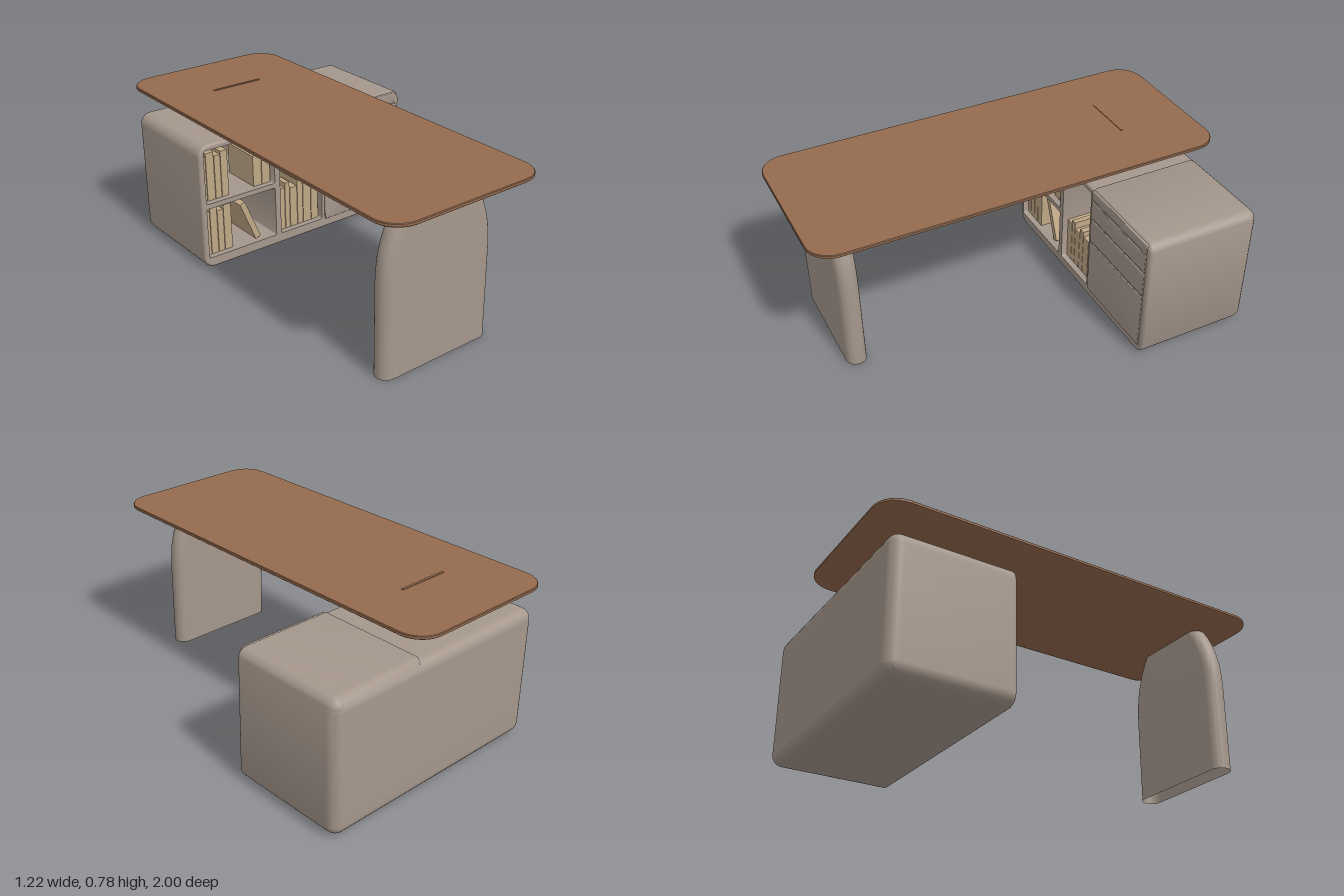
import * as THREE from 'three';
import { toCreasedNormals } from 'three/addons/utils/BufferGeometryUtils.js';

const mat = (name, color) => {
  const m = new THREE.MeshStandardMaterial({ color, side: THREE.DoubleSide });
  m.name = name;
  return m;
};

// Rounded rectangle outline, counter-clockwise; r is one radius or four (from lower right round to lower left)
function outline(x0, x1, y0, y1, r, inset = 0) {
  const radii = Array.isArray(r) ? r : [r, r, r, r];
  const pts = [];
  for (let c = 0; c < 4; c++) {
    const q = Math.max(radii[c] - inset, 0.002);
    const cx = c < 2 ? x1 - inset - q : x0 + inset + q;
    const cy = c === 1 || c === 2 ? y1 - inset - q : y0 + inset + q;
    for (let k = 0; k <= 8; k++) {
      const a = (c - 1 + k / 8) * Math.PI / 2;
      pts.push([cx + q * Math.cos(a), cy + q * Math.sin(a)]);
    }
  }
  return pts;
}

// Skin a stack of outlines [points, depth] along z, with optional flat ends
function loft(rings, capStart = true, capEnd = true, crease = 0.5) {
  const n = rings[0][0].length, pos = [], idx = [];
  rings.forEach(([pts, w]) => pts.forEach(([u, v]) => pos.push(u, v, w)));
  for (let i = 0; i < rings.length - 1; i++) {
    for (let j = 0; j < n; j++) {
      const a = i * n + j, b = i * n + (j + 1) % n;
      idx.push(a, b, b + n, a, b + n, a + n);
    }
  }
  const cap = (i, flip) => {
    const [pts, w] = rings[i], c = pos.length / 3;
    pos.push(pts.reduce((s, p) => s + p[0], 0) / n, pts.reduce((s, p) => s + p[1], 0) / n, w);
    for (let j = 0; j < n; j++) {
      const a = i * n + j, b = i * n + (j + 1) % n;
      idx.push(c, flip ? b : a, flip ? a : b);
    }
  };
  if (capStart) cap(0, true);
  if (capEnd) cap(rings.length - 1, false);
  const g = new THREE.BufferGeometry();
  g.setAttribute('position', new THREE.Float32BufferAttribute(pos, 3));
  g.setIndex(idx);
  return toCreasedNormals(g, crease);
}

// Block along z with rounded back and front edges
function softBlock(rect, r, z0, z1, rBack, rFront, capEnd = true) {
  const rings = [];
  const add = (inset, z) => rings.push([outline(...rect, r, inset), z]);
  const arc = (q, z, dir) => {
    const list = [[q + 0.004, z]];
    for (let k = 0; k <= 6; k++) {
      const a = k / 6 * Math.PI / 2;
      list.push([q * (1 - Math.sin(a)), z + dir * q * (1 - Math.cos(a))]);
    }
    list.push([0, z + dir * (q + 0.004)]);
    return list;
  };
  arc(rBack, z0, 1).forEach(p => add(...p));
  const front = arc(rFront, z1, -1).reverse();
  if (!capEnd) front.pop();
  front.forEach(p => add(...p));
  return loft(rings, true, capEnd);
}

export function createModel() {
  const taupe = mat('taupe lacquer', 0xa5978c);
  const wood = mat('brown wood', 0x946a4d);
  const tan = mat('tan paper', 0xbfa786);
  const root = new THREE.Group();
  root.name = 'desk';
  const put = (name, geo, material, parent = root) => {
    const m = new THREE.Mesh(geo, material);
    m.name = name;
    parent.add(m);
    return m;
  };
  const upright = g => g.rotateX(-Math.PI / 2); // depth becomes height, v becomes -z

  // Worktop with a bevelled underside
  put('worktop', upright(loft([
    [0.038, 0.75], [0.005, 0.762], [0, 0.766], [0, 0.777], [0.003, 0.78],
  ].map(([i, y]) => [outline(-0.61, 0.208, -1, 1, 0.12, i), y]), true, true, 0.3)), wood);
  const inlay = put('worktopInlay', new THREE.BoxGeometry(0.26, 0.006, 0.012), wood);
  inlay.position.set(-0.21, 0.78, -0.635);

  // Arched slab leg, hollow and open at the floor
  const legRings = [[0, 0.292], [0.43, 0.292], [0.49, 0.289], [0.547, 0.282], [0.6, 0.269],
    [0.66, 0.248], [0.71, 0.224], [0.752, 0.198]];
  put('slabLeg', upright(loft(legRings.map(([y, h]) =>
    [outline(-0.233 - h, -0.233 + h, -0.865, -0.768, 0.048), y]), false, true)), taupe);

  // Short pedestal between the cabinet and the worktop
  put('pedestal', upright(loft([0.62, 0.752].map(y =>
    [outline(-0.4, -0.05, 0.525, 0.72, 0.095), y]))), taupe);

  // Cabinet shell, front frame and recessed bays
  const cabinet = new THREE.Group();
  cabinet.name = 'cabinet';
  root.add(cabinet);
  const body = [-0.6, 0.606, 0.003, 0.638];
  put('cabinetShell', softBlock(body, 0.055, -0.95, -0.37, 0.05, 0.012, false), taupe, cabinet);
  const toPath = (pts, P) => new P(pts.map(p => new THREE.Vector2(...p)));
  const frame = toPath(outline(...body, 0.055, 0.012), THREE.Shape);
  const bays = [[-0.575, -0.185, 0.055, 0.315], [-0.575, -0.185, 0.34, 0.612], [-0.155, 0.1, 0.055, 0.612]];
  bays.forEach(b => {
    frame.holes.push(toPath(outline(...b, 0.01).reverse(), THREE.Path));
    put('bayLining', loft([-0.9, -0.37].map(z => [outline(...b, 0.01), z]), true, false), taupe, cabinet);
  });
  put('frontFrame', new THREE.ShapeGeometry(frame).translate(0, 0, -0.37), taupe, cabinet);

  // Drawer unit with four raised fronts
  put('drawerUnit', softBlock([0.115, 0.609, 0.045, 0.645], [0.015, 0.045, 0.004, 0.004],
    -0.946, -0.367, 0.05, 0.022), taupe, cabinet);
  [[0.05, 0.342], [0.349, 0.476], [0.483, 0.581], [0.588, 0.64]].forEach(([y0, y1]) =>
    put('drawerFront', softBlock([0.117, 0.582, y0, y1], 0.008, -0.375, -0.362, 0.001, 0.005), taupe, cabinet));

  // Books: x of the left edge, floor height, width, height, depth, lean
  const books = new THREE.Group();
  books.name = 'books';
  root.add(books);
  const book = (x, y, w, h, d, lean = 0, z = -0.4) => {
    const g = new THREE.BoxGeometry(w, h, d).translate(w / 2, h / 2, -d / 2);
    const m = put('book', g, tan, books);
    m.position.set(x, y, z);
    m.rotation.z = lean;
  };
  const row = (x, y, items) => items.forEach(([w, h, d]) => {
    book(x, y, w - 0.003, h, d);
    x += w;
  });
  row(-0.573, 0.056, [[0.03, 0.228, 0.24], [0.04, 0.245, 0.25], [0.035, 0.22, 0.23], [0.045, 0.24, 0.25]]);
  book(-0.29, 0.056, 0.03, 0.225, 0.22, 0.38);
  row(-0.573, 0.341, [[0.025, 0.228, 0.24], [0.045, 0.243, 0.25], [0.035, 0.22, 0.23], [0.04, 0.235, 0.24]]);
  row(-0.29, 0.341, [[0.05, 0.16, 0.22], [0.05, 0.18, 0.22]]);
  row(-0.152, 0.056, [[0.045, 0.225, 0.24], [0.03, 0.25, 0.25], [0.045, 0.215, 0.23],
    [0.035, 0.245, 0.25], [0.05, 0.22, 0.22], [0.045, 0.252, 0.24]]);
  return root;
}
